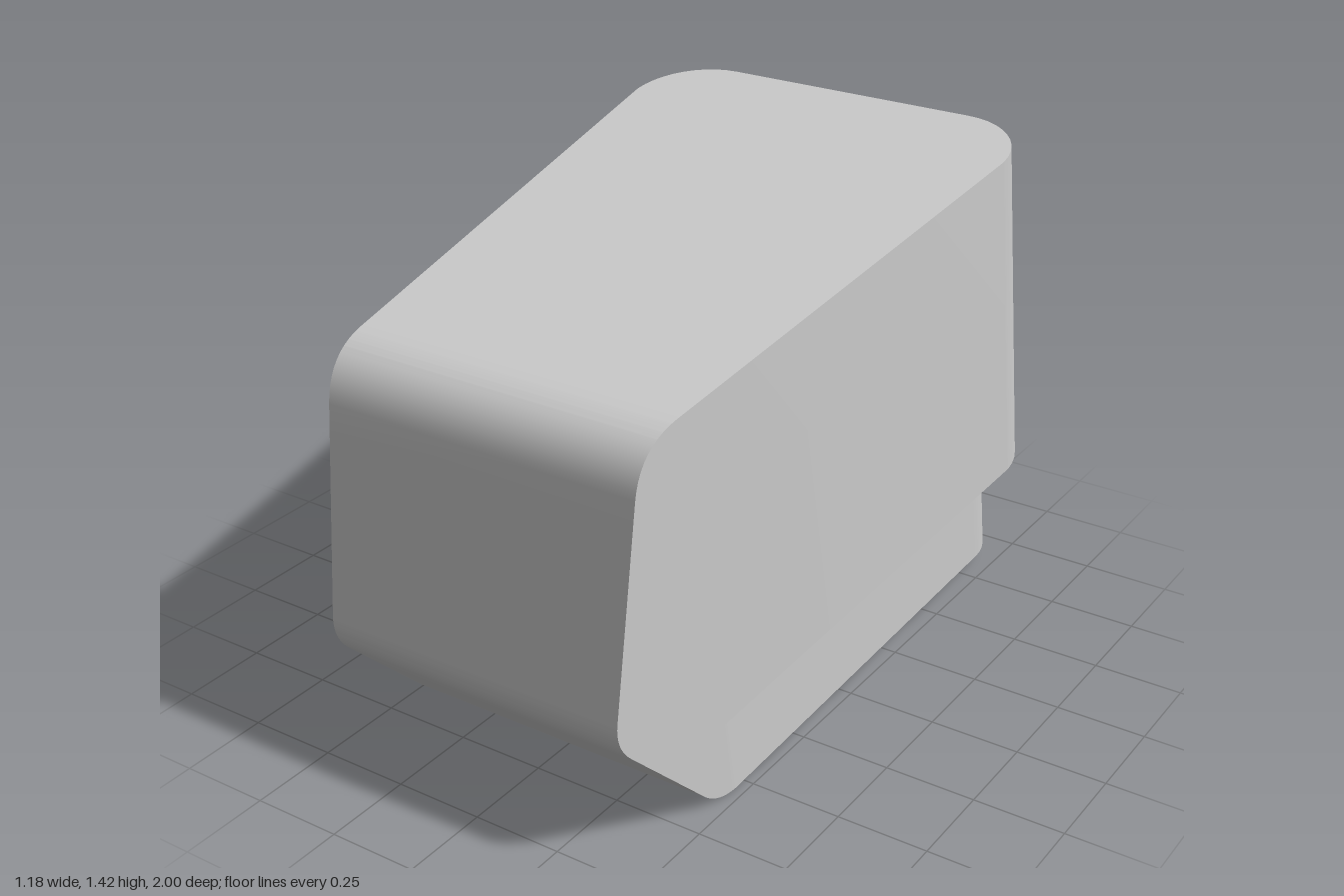
import * as THREE from 'three';
import { toCreasedNormals } from 'three/addons/utils/BufferGeometryUtils.js';

// Leaning frame: s runs forward from the back face, u runs up along it
const BACK_LOW = new THREE.Vector2(-1, 0.05);
const BACK_TOP = new THREE.Vector2(-0.768, 1.418);
const up = BACK_TOP.clone().sub(BACK_LOW).normalize();
const fwd = new THREE.Vector2(up.y, -up.x);
const toLean = (p) => {
  const d = p.clone().sub(BACK_LOW);
  return new THREE.Vector2(d.dot(fwd), d.dot(up));
};

// Side profile in (z, y) with three rounded corners
function sideProfile() {
  const path = new THREE.Path();
  path.moveTo(BACK_LOW.x, BACK_LOW.y);
  path.lineTo(0.54, 0.003);
  path.quadraticCurveTo(0.62, -0.003, 0.68, 0.06);
  path.lineTo(0.95, 0.32);
  path.quadraticCurveTo(1.006, 0.374, 0.999, 0.44);
  path.lineTo(0.935, 1.0);
  path.quadraticCurveTo(0.92, 1.126, 0.79, 1.149);
  path.lineTo(BACK_TOP.x, BACK_TOP.y);
  return path.getPoints(10).map(toLean);
}

// Height of a polyline at s
function heightAt(line, s) {
  for (let i = 1; i < line.length; i++) {
    const a = line[i - 1], b = line[i];
    if (s <= b.x) return a.y + (b.y - a.y) * (s - a.x) / Math.max(b.x - a.x, 1e-6);
  }
  return line[line.length - 1].y;
}

// Half width with a rounded back corner of radius r
const cornerWidth = (s, max, r) =>
  s >= r ? max : max - r + Math.sqrt(Math.max(0, r * r - (r - s) ** 2));

// Skin rectangular sections [s, halfWidth, low, high] from back to front
function loft(sections) {
  const pos = [], index = [];
  for (const [s, w, lo, hi] of sections) {
    for (const [x, u] of [[-w, lo], [w, lo], [w, hi], [-w, hi]]) {
      pos.push(x, BACK_LOW.y + fwd.y * s + up.y * u, BACK_LOW.x + fwd.x * s + up.x * u);
    }
  }
  index.push(0, 2, 1, 0, 3, 2);
  for (let i = 0; i < sections.length - 1; i++) {
    for (let k = 0; k < 4; k++) {
      const a = i * 4 + k, b = i * 4 + (k + 1) % 4;
      index.push(a, b, b + 4, a, b + 4, a + 4);
    }
  }
  const geo = new THREE.BufferGeometry();
  geo.setAttribute('position', new THREE.Float32BufferAttribute(pos, 3));
  geo.setIndex(index);
  return toCreasedNormals(geo, 0.5);
}

export function createModel() {
  const group = new THREE.Group();
  group.name = 'wedgeBlock';
  const material = new THREE.MeshStandardMaterial({ color: 0xcccccc });

  const profile = sideProfile();
  let tip = 0;
  profile.forEach((p, i) => { if (p.x > profile[tip].x) tip = i; });
  const lowLine = profile.slice(0, tip + 1);
  const highLine = profile.slice(tip).reverse();
  const low = (s) => heightAt(lowLine, s);
  const high = (s) => heightAt(highLine, s);
  const ledge = (s) => 0.387 + 0.0325 * s;

  const R_UP = 0.21, R_LOW = 0.2, W_UP = 0.588, W_LOW = 0.472, TAPER = 0.088;
  const upperWidth = (s) => cornerWidth(s, W_UP, R_UP) - TAPER * Math.max(0, s - R_UP);
  const lowerWidth = (s) => Math.min(cornerWidth(s, W_LOW, R_LOW), upperWidth(s));

  // Where the ledge plane leaves through the sloping chin
  let near = 1, far = profile[tip].x;
  for (let i = 0; i < 40; i++) {
    const mid = (near + far) / 2;
    if (low(mid) < ledge(mid)) near = mid; else far = mid;
  }

  // Stations: profile points, corner arcs, end of the ledge, chin crossing
  const stations = profile.map((p) => p.x);
  for (let i = 0; i <= 10; i++) {
    const t = 1 - Math.cos(i * Math.PI / 20);
    stations.push(R_UP * t, R_LOW * t);
  }
  stations.push(R_UP + (W_UP - W_LOW) / TAPER, near);
  const sorted = stations.map((s) => Math.max(0, s)).sort((a, b) => a - b)
    .filter((s, i, all) => i === 0 || s - all[i - 1] > 1e-5);

  const addPart = (name, sections) => {
    const mesh = new THREE.Mesh(loft(sections), material);
    mesh.name = name;
    group.add(mesh);
  };

  // Wide tapered body above the ledge
  addPart('upperBody', sorted.map((s) =>
    [s, upperWidth(s), Math.max(ledge(s), low(s)), high(s)]));

  // Narrower base below the ledge
  addPart('lowerBase', sorted.filter((s) => s <= near + 1e-4).map((s) =>
    [s, lowerWidth(s), low(s), Math.max(ledge(s), low(s))]));

  return group;
}
